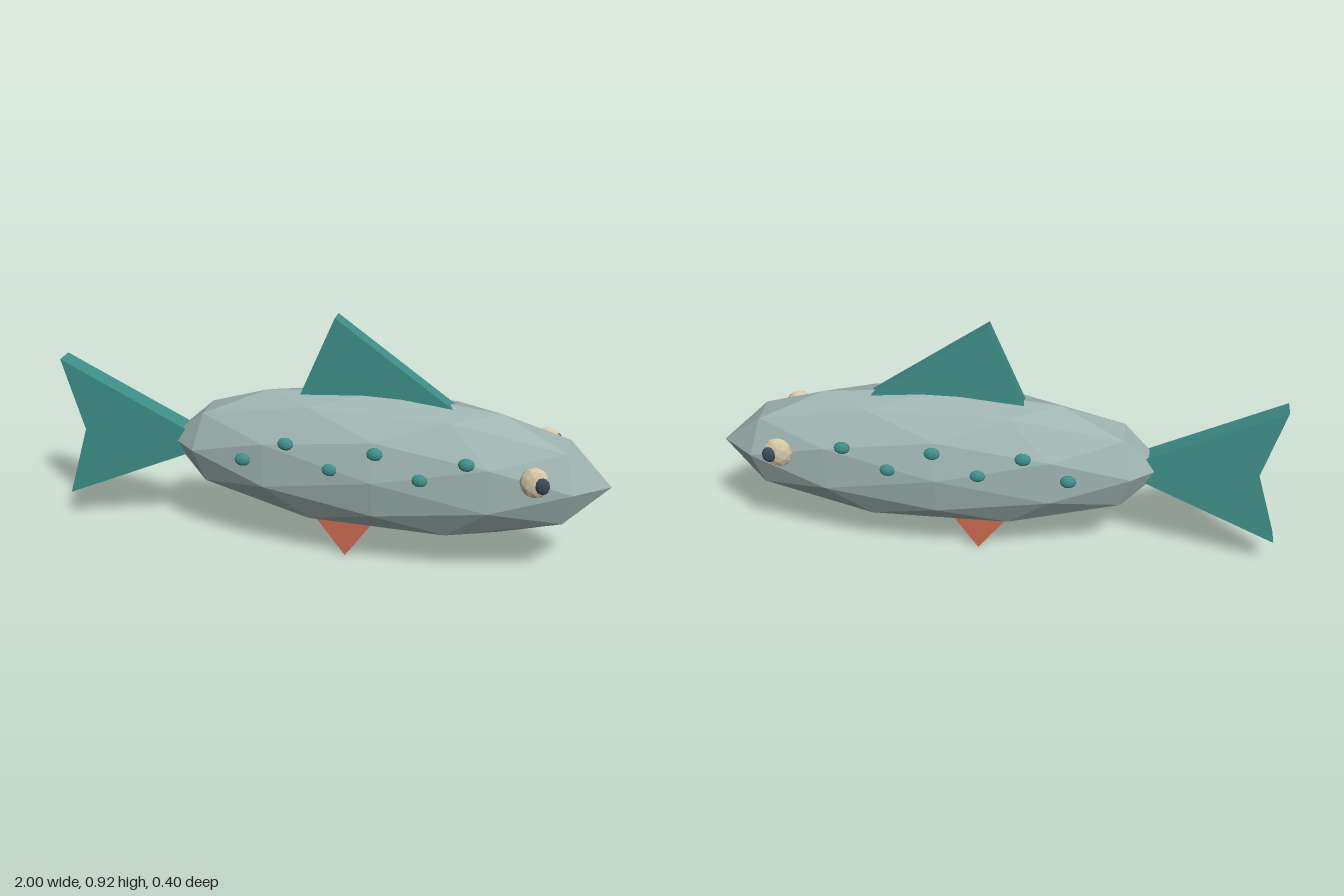
import * as THREE from 'three';

const flat = (name, color) => {
  const m = new THREE.MeshStandardMaterial({ color, flatShading: true });
  m.name = name;
  return m;
};

export function createModel() {
  const fish = new THREE.Group();
  fish.name = 'fish';

  const skin = flat('pale grey green', 0x9fb5b2);
  const teal = flat('teal', 0x3f8f89);
  const coral = flat('coral', 0xcb6a50);
  const cream = flat('cream', 0xd6c6a6);
  const dark = flat('dark slate', 0x3a4a57);

  // Faceted ellipsoid with given centre and radii
  const blob = (name, mat, pos, radii) => {
    const geo = new THREE.IcosahedronGeometry(1, 1).scale(...radii);
    const mesh = new THREE.Mesh(geo, mat);
    mesh.name = name;
    mesh.position.set(...pos);
    fish.add(mesh);
  };

  // Flat plate in the xy plane, centred on z = 0
  const fin = (name, mat, points, thickness) => {
    const shape = new THREE.Shape(points.map(([x, y]) => new THREE.Vector2(x, y)));
    const geo = new THREE.ExtrudeGeometry(shape, { depth: thickness, bevelEnabled: false });
    geo.translate(0, 0, -thickness / 2);
    const mesh = new THREE.Mesh(geo, mat);
    mesh.name = name;
    fish.add(mesh);
  };

  // Body, nose toward +x
  blob('body', skin, [0.2, 0.39, 0], [0.8, 0.267, 0.19]);

  // Fins, with their roots sunk into the body
  fin('tailFin', teal, [[-1, 0.12], [-0.45, 0.376], [-0.45, 0.404], [-1, 0.663], [-0.92, 0.392]], 0.07);
  fin('dorsalFin', teal, [[-0.1, 0.61], [0.47, 0.61], [0.03, 0.918]], 0.052);
  fin('bellyFin', coral, [[0.07, 0], [0.21, 0.2], [-0.087, 0.2]], 0.052);

  // Eyes and zigzag row of spots on both flanks
  for (const side of [1, -1]) {
    const label = side > 0 ? 'left' : 'right';
    blob(label + 'Eye', cream, [0.755, 0.456, side * 0.165], [0.051, 0.057, 0.026]);
    blob(label + 'Pupil', dark, [0.784, 0.456, side * 0.186], [0.025, 0.031, 0.014]);
    for (let i = 0; i < 6; i++) {
      const pos = [-0.265 + i * 0.158, i % 2 ? 0.495 : 0.416, side * 0.172];
      blob(label + 'Spot' + (i + 1), teal, pos, [0.029, 0.024, 0.016]);
    }
  }
  return fish;
}
